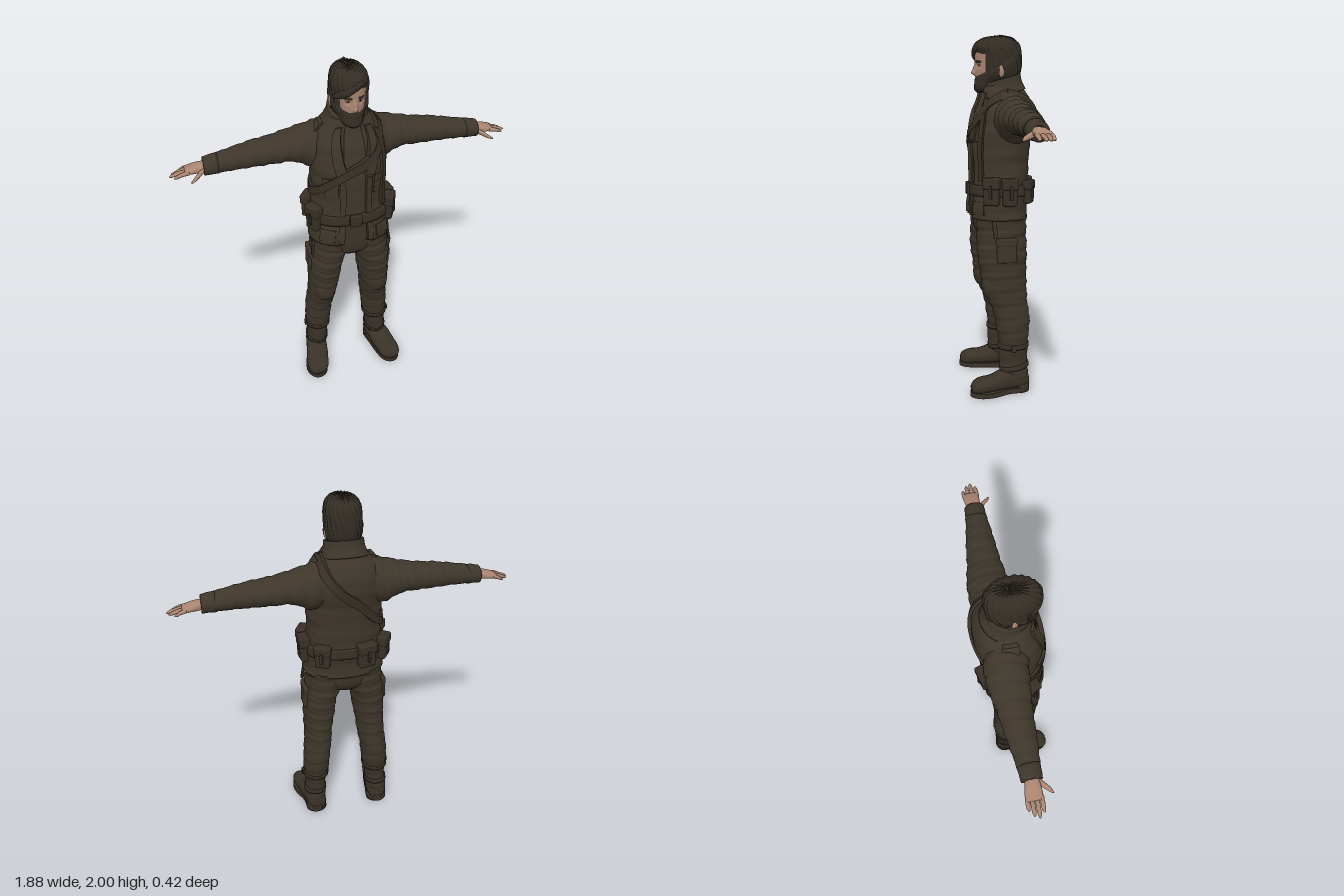
import * as THREE from 'three';
import { mergeGeometries, toCreasedNormals } from 'three/addons/utils/BufferGeometryUtils.js';
import { RoundedBoxGeometry } from 'three/addons/geometries/RoundedBoxGeometry.js';

const mat = (name, color, side = THREE.FrontSide) => Object.assign(new THREE.MeshStandardMaterial({ color, side }), { name });
const M = {
  jacket: mat('jacket cloth', 0x3e362b, THREE.DoubleSide),
  trousers: mat('trouser cloth', 0x3c342a),
  gear: mat('strap leather', 0x383027, THREE.DoubleSide),
  boot: mat('boot leather', 0x3a3229),
  hair: mat('hair', 0x342d25),
  skin: mat('skin', 0xa98470),
  eye: mat('eye white', 0xb0a8a0),
  iris: mat('iris', 0x1c1713),
};

// Smooth interpolation of key rows [t, ...values]
function sample(keys, t) {
  let i = 0;
  while (i < keys.length - 2 && t > keys[i + 1][0]) i++;
  const a = keys[i], b = keys[i + 1], p = keys[Math.max(i - 1, 0)], n = keys[Math.min(i + 2, keys.length - 1)];
  const h = b[0] - a[0], f = (t - a[0]) / h, f2 = f * f, f3 = f2 * f;
  return a.slice(1).map((v, k) => {
    const w = b[k + 1], m0 = (w - p[k + 1]) / (b[0] - p[0]) * h, m1 = (n[k + 1] - v) / (n[0] - a[0]) * h;
    return v * (2 * f3 - 3 * f2 + 1) + m0 * (f3 - 2 * f2 + f) + w * (3 * f2 - 2 * f3) + m1 * (f3 - f2);
  });
}
const spow = (v, e) => Math.sign(v) * Math.abs(v) ** e;
const AXES = { x: [2, 1, 0], y: [0, 2, 1], z: [1, 0, 2] };

// Skin over superellipse rings; keys are [t, centreU, centreV, radiusU, radiusV]
function loft(axis, keys, { s = 1, p = 2, rows = 40, seg = 36, fold = 0, freq = 60, gap = 0, end = 0, tilt = 0 } = {}) {
  const [U, V, T] = AXES[axis], pos = [], idx = [], cols = gap ? seg + 1 : seg;
  const t0 = keys[0][0], t1 = keys[keys.length - 1][0];
  for (let i = -1; i <= rows + 1; i++) {
    const t = t0 + (t1 - t0) * Math.min(Math.max(i / rows, 0), 1), [cu, cv, ru, rv] = sample(keys, t);
    const k = i < 0 || i > rows ? end : 1;
    for (let j = 0; j < cols; j++) {
      const a = Math.PI / 2 + gap + (j / seg) * 2 * (Math.PI - gap);
      const wave = Math.sin(t * freq + 1.7 * Math.sin(a)) + 0.6 * Math.sin(t * freq * 1.9 - 2 * Math.cos(a) + 1);
      const r = k * (1 + fold * wave) * (gap && (j === 0 || j === seg) ? 0.9 : 1), q = [0, 0, 0];
      q[U] = cu + ru * r * spow(Math.cos(a), 2 / p);
      q[V] = cv + rv * r * spow(Math.sin(a), 2 / p);
      q[T] = t;
      pos.push(q[0] * s, q[1] - tilt * q[2], q[2]);
    }
  }
  for (let i = 0; i < rows + 2; i++) for (let j = 0; j < seg; j++) {
    const a = i * cols + j, d = i * cols + (j + 1) % cols, b = a + cols, c = d + cols;
    idx.push(...(s > 0 ? [a, b, d, b, c, d] : [a, d, b, b, d, c]));
  }
  const g = new THREE.BufferGeometry();
  g.setAttribute('position', new THREE.Float32BufferAttribute(pos, 3));
  g.setIndex(idx);
  g.computeVertexNormals();
  return g;
}

const TORSO = [[0.985, 0, 0.01, 0.236, 0.166], [1.05, 0, 0.01, 0.23, 0.166], [1.12, 0, 0, 0.222, 0.165], [1.2, 0, 0, 0.21, 0.162],
  [1.3, 0, -0.002, 0.206, 0.165], [1.4, 0, -0.005, 0.21, 0.169], [1.5, 0, -0.02, 0.21, 0.173], [1.58, 0, -0.03, 0.195, 0.167],
  [1.64, 0, -0.032, 0.165, 0.145], [1.69, 0, -0.025, 0.125, 0.125], [1.72, 0, -0.02, 0.1, 0.112]];
const TORSO_P = 2.3;
function torsoPoint(a, y, off = 0) {
  const [cx, cz, rx, rz] = sample(TORSO, y);
  return new THREE.Vector3(cx + (rx + off) * spow(Math.cos(a), 2 / TORSO_P), y, cz + (rz + off) * spow(Math.sin(a), 2 / TORSO_P));
}

// Flat strap hugging the torso along [degrees, height] points; 90 degrees is the front
function strap(points, width, off = 0.012, steps = 48) {
  const curve = new THREE.CatmullRomCurve3(points.map(([d, y]) => new THREE.Vector3(d * Math.PI / 180 * 0.19, y, 0)));
  const pos = [], idx = [];
  for (let i = 0; i <= steps; i++) {
    const c = curve.getPoint(i / steps), t = curve.getTangent(i / steps);
    for (const [w, o] of [[1, -0.01], [1, off], [-1, off], [-1, -0.01]]) {
      pos.push(...torsoPoint((c.x - t.y * w * width / 2) / 0.19, c.y + t.x * w * width / 2, o).toArray());
    }
    if (i < steps) for (let j = 0; j < 4; j++) {
      const a = i * 4 + j, b = i * 4 + (j + 1) % 4;
      idx.push(a, b, a + 4, b, b + 4, a + 4);
    }
  }
  idx.push(0, 2, 1, 0, 3, 2, steps * 4, steps * 4 + 1, steps * 4 + 2, steps * 4, steps * 4 + 2, steps * 4 + 3);
  const g = new THREE.BufferGeometry();
  g.setAttribute('position', new THREE.Float32BufferAttribute(pos, 3));
  g.setIndex(idx);
  g.computeVertexNormals();
  return toCreasedNormals(g, 0.7);
}

// Head with hair and beard raised from the skin, coloured by face groups
const HEAD = [[1.685, 0, 0.085, 0.018, 0.03], [1.7, 0, 0.073, 0.045, 0.057], [1.72, 0, 0.055, 0.06, 0.076], [1.75, 0, 0.025, 0.07, 0.103],
  [1.8, 0, 0.014, 0.078, 0.115], [1.85, 0, 0.012, 0.082, 0.12], [1.9, 0, 0.012, 0.084, 0.12], [1.94, 0, 0.01, 0.074, 0.106],
  [1.965, 0, 0.005, 0.045, 0.066], [1.975, 0, 0, 0.002, 0.002]];
const bump = (v, w) => Math.exp(-((v / w) ** 2));
const step = THREE.MathUtils.smoothstep;
function headGeometry(rows = 84, seg = 112) {
  const pos = [], hairy = [], lists = [[], []];
  for (let i = 0; i <= rows; i++) for (let j = 0; j < seg; j++) {
    const y = 1.83 - 0.145 * Math.cos(Math.PI * i / rows), [, cz, rx, rz] = sample(HEAD, y);
    const a = (j / seg) * 2 * Math.PI - Math.PI, side = Math.abs(a);
    const x = rx * spow(Math.sin(a), 0.95), z = cz + rz * spow(Math.cos(a), 0.95), ex = Math.abs(x);
    const line = x < 0.03 ? 1.9 + 0.5 * (x - 0.03) : 1.9 - 0.3 * (x - 0.03);
    const dHair = Math.max(y - line, (side - 1) * 0.08), dBeard = 1.768 + 0.022 * side * side - y;
    const brow = side < 1 && Math.abs(ex - 0.034) < 0.02 && Math.abs(y - 1.849 + (ex - 0.034) * 0.1) < 0.0045;
    hairy.push(dHair > 0 || dBeard > 0 || brow);
    const thick = 0.016 * step(dHair, 0, 0.02) * step(y, 1.73, 1.79) * (1 + 0.2 * Math.sin(a * 21 + y * 70))
      + 0.006 * step(dBeard, 0, 0.012) * (1 + 0.3 * Math.sin(a * 30 + y * 90));
    const v = new THREE.Vector3(x, y, z);
    v.addScaledVector(new THREE.Vector3(x, y - 1.83, z - 0.01).normalize(), thick);
    if (side < 1.2) v.z += 0.024 * bump(x, 0.012) * (bump(y - 1.788, 0.012) + 0.6 * bump(y - 1.812, 0.02))
      - 0.01 * bump(ex - 0.032, 0.016) * bump(y - 1.828, 0.012) + (brow ? 0.003 : 0);
    pos.push(v.x, v.y, v.z);
  }
  for (let i = 0; i < rows; i++) for (let j = 0; j < seg; j++) {
    const a = i * seg + j, b = i * seg + (j + 1) % seg, c = b + seg, d = a + seg;
    const dark = [a, b, c, d].filter((n) => hairy[n]).length > 1;
    lists[dark ? 1 : 0].push(a, b, c, a, c, d);
  }
  const g = new THREE.BufferGeometry();
  g.setAttribute('position', new THREE.Float32BufferAttribute(pos, 3));
  g.setIndex([...lists[0], ...lists[1]]);
  g.addGroup(0, lists[0].length, 0);
  g.addGroup(lists[0].length, lists[1].length, 1);
  g.computeVertexNormals();
  return g;
}

export function createModel() {
  const root = new THREE.Group();
  const add = (name, geo, material, x = 0, y = 0, z = 0, parent = root) => {
    const m = new THREE.Mesh(geo, material);
    m.name = name;
    m.position.set(x, y, z);
    parent.add(m);
    return m;
  };

  // Head, ears, eyes and loose tufts
  add('head', headGeometry(), [M.skin, M.hair]);
  for (const s of [1, -1]) {
    add('ear', new THREE.SphereGeometry(1, 16, 12), M.skin, s * 0.092, 1.795, 0).scale.set(0.012, 0.033, 0.019);
    add('eye', new THREE.SphereGeometry(0.012, 16, 10), M.eye, s * 0.032, 1.828, 0.106).scale.set(1, 0.5, 1);
    add('iris', new THREE.SphereGeometry(0.005, 12, 8), M.iris, s * 0.031, 1.828, 0.115);
  }
  let seed = 7;
  const rand = () => (seed = (seed * 16807) % 2147483647) / 2147483647;
  const tufts = [];
  for (let i = 0; i < 60; i++) {
    const a = rand() * Math.PI * 2, e = 0.1 + rand() * 1.4;
    const d = new THREE.Vector3(Math.cos(e) * Math.cos(a), Math.sin(e), Math.cos(e) * Math.sin(a));
    if (d.z > 0.45 && d.y < 0.75) continue;
    const g = new THREE.ConeGeometry(0.008, 0.03, 5);
    g.applyQuaternion(new THREE.Quaternion().setFromUnitVectors(new THREE.Vector3(0, 1, 0), d.clone().add(new THREE.Vector3(0, 0.1, -0.7)).normalize()));
    tufts.push(g.translate(d.x * 0.093, 1.86 + d.y * 0.125, 0.01 + d.z * 0.13));
  }
  add('hair tufts', mergeGeometries(tufts), M.hair);
  add('swept fringe', loft('x', [[-0.1, 0.07, 1.848, 0.004, 0.006], [-0.075, 0.1, 1.864, 0.014, 0.02], [-0.03, 0.13, 1.892, 0.017, 0.023],
    [0.02, 0.13, 1.918, 0.016, 0.02], [0.05, 0.115, 1.932, 0.006, 0.01]], { fold: 0.06, freq: 90, seg: 18 }), M.hair);

  // Shirt, hips and open jacket with collar
  add('neck scarf', loft('y', [[1.6, 0, -0.015, 0.09, 0.09], [1.68, 0, -0.005, 0.075, 0.08], [1.77, 0, -0.005, 0.066, 0.078]], { rows: 14, fold: 0.02 }), M.jacket);
  add('shirt', loft('y', [[1.02, 0, 0, 0.195, 0.146], [1.2, 0, 0, 0.188, 0.147], [1.4, 0, -0.005, 0.19, 0.15], [1.56, 0, -0.028, 0.175, 0.15],
    [1.64, 0, -0.03, 0.14, 0.125], [1.7, 0, -0.02, 0.085, 0.1]], { p: 2.3, fold: 0.008 }), M.jacket);
  add('hips', loft('y', [[0.865, 0, 0, 0.09, 0.1], [0.91, 0, 0.002, 0.185, 0.135], [1, 0, 0.002, 0.205, 0.146], [1.1, 0, 0, 0.195, 0.148]], { rows: 16, p: 2.2 }), M.trousers);
  add('jacket', loft('y', TORSO, { p: TORSO_P, gap: 0.27, rows: 72, seg: 72, fold: 0.009, freq: 48, end: 0.9 }), M.jacket);
  add('collar', loft('y', [[1.66, 0, -0.025, 0.132, 0.13], [1.71, 0, -0.018, 0.112, 0.115], [1.752, 0, -0.012, 0.106, 0.112]],
    { rows: 12, gap: 0.42, end: 0.88, tilt: 0.28 }), M.jacket);
  for (const s of [1, -1]) {
    const at = (d) => 90 - s * d;
    add('lapel', strap([[at(30), 1.68], [at(27), 1.6], [at(23), 1.52], [at(17), 1.42]], 0.05, 0.014), M.jacket);
    add('jacket placket', strap([[at(17), 1.4], [at(17), 1.2], [at(18), 1]], 0.028, 0.007), M.jacket);
    add('hem pocket', strap([[at(40), 1.085], [at(41), 1.01]], 0.09, 0.007, 6), M.jacket);
    add('chest pocket', strap([[at(36), 1.4], [at(36), 1.3]], 0.08, 0.008, 6), M.jacket);
    add('pocket flap', strap([[at(36), 1.41], [at(36), 1.37]], 0.088, 0.013, 6), M.jacket);
  }

  // Belt, buckle, bandolier and pouches
  add('belt', loft('y', [[1.115, 0, 0, 0.232, 0.174], [1.175, 0, 0, 0.224, 0.172]], { p: TORSO_P, rows: 4, seg: 64, end: 0.9 }), M.gear);
  add('buckle', new RoundedBoxGeometry(0.07, 0.07, 0.02, 2, 0.006), M.gear, -0.005, 1.145, 0.176);
  add('bandolier', strap([[0, 1.68], [40, 1.62], [62, 1.53], [90, 1.46], [118, 1.4], [150, 1.33], [185, 1.28], [225, 1.32], [250, 1.4], [275, 1.5],
    [300, 1.59], [325, 1.65], [360, 1.68]], 0.042, 0.016, 110), M.gear);
  add('shoulder strap', strap([[48, 1.65], [47, 1.55], [46, 1.4], [45, 1.2]], 0.03, 0.016), M.gear);
  add('chest strap', strap([[150, 1.33], [170, 1.31], [190, 1.31]], 0.035, 0.014), M.gear);
  const pouch = (deg, y, w, h, d) => {
    const a = deg * Math.PI / 180, g = new THREE.Group(), [, , rx, rz] = sample(TORSO, y);
    g.name = 'belt pouch';
    g.position.copy(torsoPoint(a, y, d * 0.3));
    g.rotation.y = Math.atan2(Math.cos(a) / rx, Math.sin(a) / rz);
    add('pouch body', new RoundedBoxGeometry(w, h, d, 3, 0.014), M.gear, 0, 0, 0, g);
    add('pouch flap', new RoundedBoxGeometry(w + 0.01, h * 0.42, d + 0.012, 3, 0.012), M.gear, 0, h * 0.31, 0, g);
    add('pouch tab', new RoundedBoxGeometry(0.018, h * 0.5, 0.012, 2, 0.004), M.gear, 0, 0, d / 2 + 0.004, g);
    root.add(g);
  };
  [[158, 1.145, 0.085, 0.15, 0.05], [22, 1.145, 0.085, 0.15, 0.05], [-5, 1.14, 0.08, 0.15, 0.05], [208, 1.13, 0.085, 0.14, 0.05],
    [-52, 1.135, 0.085, 0.13, 0.04], [250, 1.13, 0.1, 0.14, 0.05]].forEach((q) => pouch(...q));
  for (const s of [1, -1]) {
    const cord = add('hanging strap', new THREE.BoxGeometry(0.012, 0.11, 0.022), M.gear, s * 0.225, 0.945, 0.06);
    cord.rotation.set(s > 0 ? 0.1 : -0.6, 0, s * 0.2);
  }

  for (const s of [1, -1]) {
    // Sleeve and cuff
    add('sleeve', loft('x', [[0.09, -0.05, 1.545, 0.11, 0.135], [0.2, -0.062, 1.527, 0.115, 0.122], [0.3, -0.066, 1.536, 0.106, 0.085],
      [0.4, -0.063, 1.526, 0.09, 0.075], [0.5, -0.06, 1.52, 0.08, 0.069], [0.6, -0.055, 1.51, 0.069, 0.06], [0.7, -0.052, 1.497, 0.057, 0.052],
      [0.75, -0.05, 1.49, 0.05, 0.047]], { s, rows: 80, fold: 0.022, freq: 75, end: 0.6 }), M.jacket);
    add('cuff', loft('x', [[0.69, -0.052, 1.498, 0.06, 0.055], [0.765, -0.05, 1.49, 0.052, 0.049]], { s, rows: 6, end: 0.6, fold: 0.02 }), M.jacket);
    add('epaulette', strap([[s > 0 ? 12 : 168, 1.655], [s > 0 ? -14 : 194, 1.655]], 0.04, 0.02, 12), M.jacket);

    // Hand
    add('palm', loft('x', [[0.73, -0.05, 1.49, 0.03, 0.024], [0.78, -0.052, 1.488, 0.038, 0.025], [0.83, -0.055, 1.482, 0.044, 0.019],
      [0.862, -0.056, 1.477, 0.04, 0.012]], { s, p: 2.4, rows: 14, seg: 24 }), M.skin);
    [[-0.02, 0.92], [-0.044, 0.942], [-0.067, 0.93], [-0.089, 0.902]].forEach(([z, tip]) =>
      add('finger', loft('x', [[0.84, z, 1.479, 0.0115, 0.011], [(0.84 + tip) / 2, z * 1.02, 1.472, 0.011, 0.0105],
        [tip - 0.012, z * 1.02, 1.461, 0.009, 0.008], [tip, z * 1.02, 1.458, 0.003, 0.003]], { s, rows: 12, seg: 12 }), M.skin));
    add('thumb', loft('x', [[0.755, -0.035, 1.484, 0.018, 0.016], [0.785, -0.008, 1.474, 0.019, 0.014], [0.815, 0.022, 1.462, 0.014, 0.011],
      [0.838, 0.04, 1.454, 0.005, 0.005]], { s, rows: 14, seg: 14 }), M.skin);

    // Trouser leg with knee patch and cargo pocket
    add('trouser leg', loft('y', [[0.25, 0.188, -0.05, 0.066, 0.08], [0.29, 0.186, -0.052, 0.074, 0.082], [0.34, 0.183, -0.05, 0.078, 0.09],
      [0.42, 0.177, -0.047, 0.079, 0.099], [0.5, 0.166, -0.03, 0.081, 0.106], [0.58, 0.161, -0.01, 0.082, 0.122], [0.7, 0.15, 0, 0.092, 0.131],
      [0.8, 0.142, 0.005, 0.098, 0.14], [0.9, 0.118, 0.005, 0.11, 0.14], [1, 0.11, 0.003, 0.11, 0.142]],
    { s, rows: 110, fold: 0.018, freq: 85, p: 2.1 }), M.trousers);
    add('knee patch', new THREE.SphereGeometry(1, 20, 14), M.trousers, s * 0.162, 0.615, 0.075).scale.set(0.062, 0.085, 0.05);
    const pocket = add('cargo pocket', new RoundedBoxGeometry(0.03, 0.13, 0.11, 3, 0.012), M.trousers, s * 0.231, 0.815, -0.005);
    pocket.rotation.z = s * 0.05;
    add('cargo flap', new RoundedBoxGeometry(0.036, 0.045, 0.118, 3, 0.01), M.trousers, s * 0.228, 0.865, -0.005);
    add('gaiter strap', loft('y', [[0.255, 0.188, -0.05, 0.078, 0.088], [0.28, 0.188, -0.05, 0.078, 0.09]], { s, rows: 3, end: 0.8 }), M.gear);
    add('gaiter buckle', new RoundedBoxGeometry(0.016, 0.036, 0.03, 2, 0.005), M.gear, s * 0.266, 0.265, -0.04);

    // Boot: shaft, foot, sole, strap
    add('boot shaft', loft('y', [[0.04, 0.198, -0.068, 0.06, 0.07], [0.1, 0.198, -0.06, 0.064, 0.076], [0.15, 0.193, -0.05, 0.061, 0.08],
      [0.27, 0.19, -0.05, 0.064, 0.083]], { s, rows: 30, fold: 0.015, freq: 90 }), M.boot);
    add('boot foot', loft('z', [[-0.135, 0.06, 0.192, 0.036, 0.042], [-0.1, 0.068, 0.196, 0.05, 0.058], [0, 0.074, 0.21, 0.056, 0.066],
      [0.08, 0.06, 0.225, 0.042, 0.068], [0.15, 0.055, 0.236, 0.038, 0.064], [0.185, 0.048, 0.24, 0.028, 0.048], [0.198, 0.042, 0.242, 0.012, 0.028]],
    { s, p: 2.3, rows: 36, fold: 0.01 }), M.boot);
    const outline = [[0.165, -0.135], [0.215, -0.14], [0.255, -0.1], [0.262, -0.02], [0.298, 0.07], [0.303, 0.14], [0.275, 0.19], [0.235, 0.203],
      [0.19, 0.175], [0.165, 0.1], [0.148, 0], [0.135, -0.09]].map(([x, z]) => new THREE.Vector2(s * x, z));
    const sole = new THREE.Shape(new THREE.SplineCurve([...outline, outline[0]]).getPoints(48));
    add('boot sole', new THREE.ExtrudeGeometry(sole, { depth: 0.028, bevelEnabled: false }).rotateX(Math.PI / 2), M.boot, 0, 0.028, 0);
    add('boot heel cap', loft('y', [[0, 0.196, -0.085, 0.063, 0.056], [0.045, 0.196, -0.085, 0.061, 0.055]], { s, rows: 3 }), M.boot);
    add('boot strap', loft('y', [[0.125, 0.195, -0.055, 0.069, 0.084], [0.15, 0.194, -0.052, 0.068, 0.085]], { s, rows: 3, end: 0.8, tilt: 0.15 }), M.gear);
  }
  return root;
}
